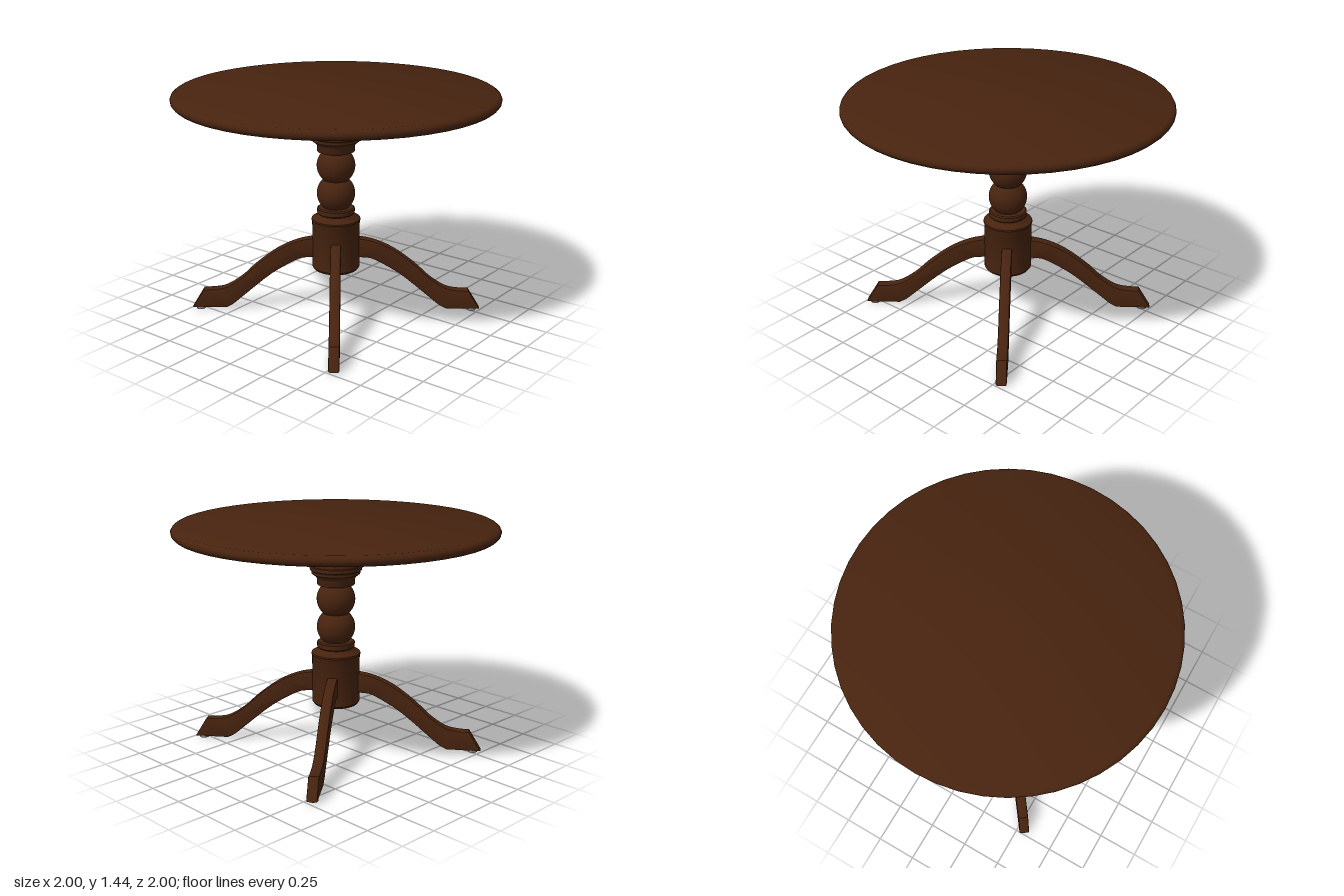
import * as THREE from 'three';
import { toCreasedNormals } from 'three/addons/utils/BufferGeometryUtils.js';

const vec = ([x, y]) => new THREE.Vector2(x, y);

// Points of a circular arc bulging outward, from angle a to b (degrees)
function arc(cx, cy, r, a, b, n) {
  const pts = [];
  for (let i = 0; i <= n; i++) {
    const t = THREE.MathUtils.degToRad(a + ((b - a) * i) / n);
    pts.push([cx + r * Math.cos(t), cy + r * Math.sin(t)]);
  }
  return pts;
}

function turned(name, profile, material, segments = 48) {
  const geo = toCreasedNormals(new THREE.LatheGeometry(profile.map(vec), segments), 0.6);
  const mesh = new THREE.Mesh(geo, material);
  mesh.name = name;
  return mesh;
}

export function createModel() {
  const wood = new THREE.MeshStandardMaterial({ color: 0x47230f });
  wood.name = 'dark wood';
  const metal = new THREE.MeshStandardMaterial({ color: 0x85888a });
  metal.name = 'grey metal';

  const table = new THREE.Group();
  table.name = 'pedestalTable';

  // Round top with a softened rim
  table.add(turned('tableTop', [
    [0, 1.376], [0.98, 1.376],
    ...arc(0.972, 1.406, 0.028, -60, 60, 6),
    [0.975, 1.436], [0, 1.436],
  ], wood));

  // Mounting plate under the top
  table.add(turned('mountingPlate', [
    [0, 1.345], [0.308, 1.345], [0.308, 1.374], [0, 1.374],
  ], wood));

  // Turned column: base drum, collar, two balls, flared capital
  table.add(turned('column', [
    [0, 0.285], [0.138, 0.285], [0.15, 0.3], [0.15, 0.605],
    [0.155, 0.614], [0.152, 0.622], [0.13, 0.632], [0.118, 0.645],
    [0.11, 0.652], [0.118, 0.66], [0.118, 0.688], [0.11, 0.695],
    ...arc(0, 0.785, 0.12, -48, 48, 14),
    ...arc(0, 0.965, 0.12, -48, 48, 14),
    [0.115, 1.058], [0.118, 1.063], [0.118, 1.095], [0.126, 1.11],
    [0.142, 1.122], [0.15, 1.128], [0.15, 1.146], [0.16, 1.152],
    [0.163, 1.163], [0.16, 1.174], [0.154, 1.178], [0.154, 1.345], [0, 1.345],
  ], wood));

  // Curved leg outline in (distance from axis, height)
  const upper = [[0.85, 0.137], [0.78, 0.14], [0.7, 0.157], [0.6, 0.222],
    [0.5, 0.315], [0.365, 0.415], [0.23, 0.475], [0.1, 0.497]].map(vec);
  const lower = [[0.1, 0.362], [0.18, 0.362], [0.25, 0.345], [0.41, 0.25],
    [0.59, 0.1], [0.66, 0.04], [0.71, 0.012]].map(vec);
  const outline = new THREE.Shape([
    new THREE.Vector2(0.925, 0.012),
    ...new THREE.SplineCurve(upper).getPoints(24),
    ...new THREE.SplineCurve(lower).getPoints(24),
  ]);
  const bevel = 0.008;
  const width = 0.064;
  const legRaw = new THREE.ExtrudeGeometry(outline, {
    depth: width - 2 * bevel, bevelThickness: bevel, bevelSize: bevel,
    bevelOffset: -bevel, bevelSegments: 2,
  });
  legRaw.translate(0, 0, -width / 2 + bevel);
  const legGeo = toCreasedNormals(legRaw, 0.6);
  const padGeo = new THREE.CylinderGeometry(0.03, 0.03, 0.014, 16);
  const screwGeo = new THREE.CylinderGeometry(0.026, 0.02, 0.016, 12);

  // Four legs with floor pads, and four plate screws
  for (let i = 0; i < 4; i++) {
    const leg = new THREE.Group();
    leg.name = 'leg' + (i + 1);
    const body = new THREE.Mesh(legGeo, wood);
    body.name = 'curvedLeg';
    const pad = new THREE.Mesh(padGeo, metal);
    pad.name = 'floorPad';
    pad.position.set(0.875, 0.007, 0);
    leg.add(body, pad);
    leg.rotation.y = -Math.atan2(0.8, 0.6) + (i * Math.PI) / 2;
    table.add(leg);

    const screw = new THREE.Mesh(screwGeo, metal);
    screw.name = 'plateScrew';
    const a = 0.66 + (i * Math.PI) / 2;
    screw.position.set(0.24 * Math.cos(a), 1.338, 0.24 * Math.sin(a));
    table.add(screw);
  }
  return table;
}
